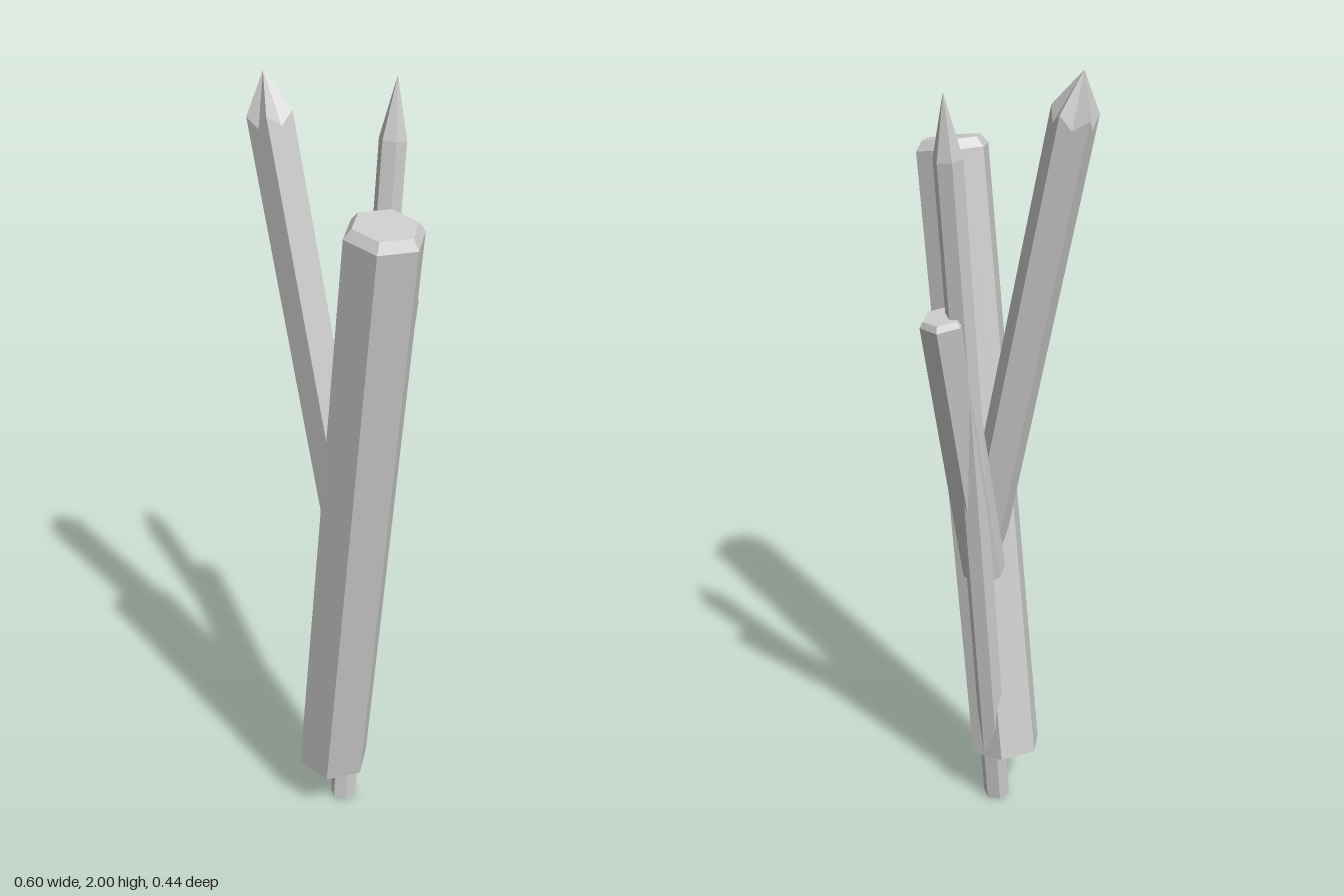
import * as THREE from 'three';

const material = new THREE.MeshStandardMaterial({ color: 0xcccccc, flatShading: true, side: THREE.DoubleSide });
const UP = new THREE.Vector3(0, 1, 0);

// Faceted prism from base to shoulder; cap is [radius, height] of the end above the shoulder.
// phase: angle in degrees of the first corner in the xz plane; drop lowers the shoulder between corners.
function crystal(name, base, shoulder, radius, sides, phase, cap, drop = 0) {
  const a = new THREE.Vector3(...base);
  const axis = new THREE.Vector3(...shoulder).sub(a);
  const length = axis.length();
  const [capRadius, capHeight] = cap;
  const profile = [[0, 0], [radius, 0], [radius, length], [capRadius, length + capHeight]];
  if (capRadius > 0) profile.push([0, length + capHeight]);

  const points = profile.map(([r, y]) => new THREE.Vector2(r, y));
  const segments = sides * 2;
  const geometry = new THREE.LatheGeometry(points, segments, THREE.MathUtils.degToRad(90 - phase));

  // Pull every second ridge onto the flat between its neighbours
  const pos = geometry.attributes.position;
  const flat = Math.cos(Math.PI / sides);
  for (let i = 1; i < segments; i += 2) {
    for (let j = 0; j < points.length; j++) {
      const k = i * points.length + j;
      const y = pos.getY(k) - (j === 2 ? drop : 0);
      pos.setXYZ(k, pos.getX(k) * flat, y, pos.getZ(k) * flat);
    }
  }
  geometry.computeVertexNormals();

  const mesh = new THREE.Mesh(geometry, material);
  mesh.name = name;
  mesh.position.copy(a);
  mesh.quaternion.setFromUnitVectors(UP, axis.normalize());
  return mesh;
}

export function createModel() {
  const group = new THREE.Group();
  group.name = 'crystalCluster';
  group.add(
    // Thick bevelled column
    crystal('mainCrystal', [-0.053, 0.148, 0.068], [0.205, 1.742, 0.133], 0.096, 6, -7, [0.078, 0.024]),
    // Five-sided pointed crystal leaning to the side
    crystal('sideCrystal', [0.005, 0.75, 0.037], [-0.246, 1.905, 0.067], 0.058, 5, -94, [0, 0.097], 0.03),
    // Slender pointed crystal running down to the ground
    crystal('longCrystal', [-0.046, 0.005, 0.04], [-0.102, 1.82, -0.188], 0.035, 6, 90, [0, 0.15]),
    // Short blunt crystal at the back
    crystal('backCrystal', [-0.047, 0.715, -0.012], [-0.065, 1.43, -0.172], 0.056, 6, 0, [0.046, 0.014])
  );
  return group;
}
